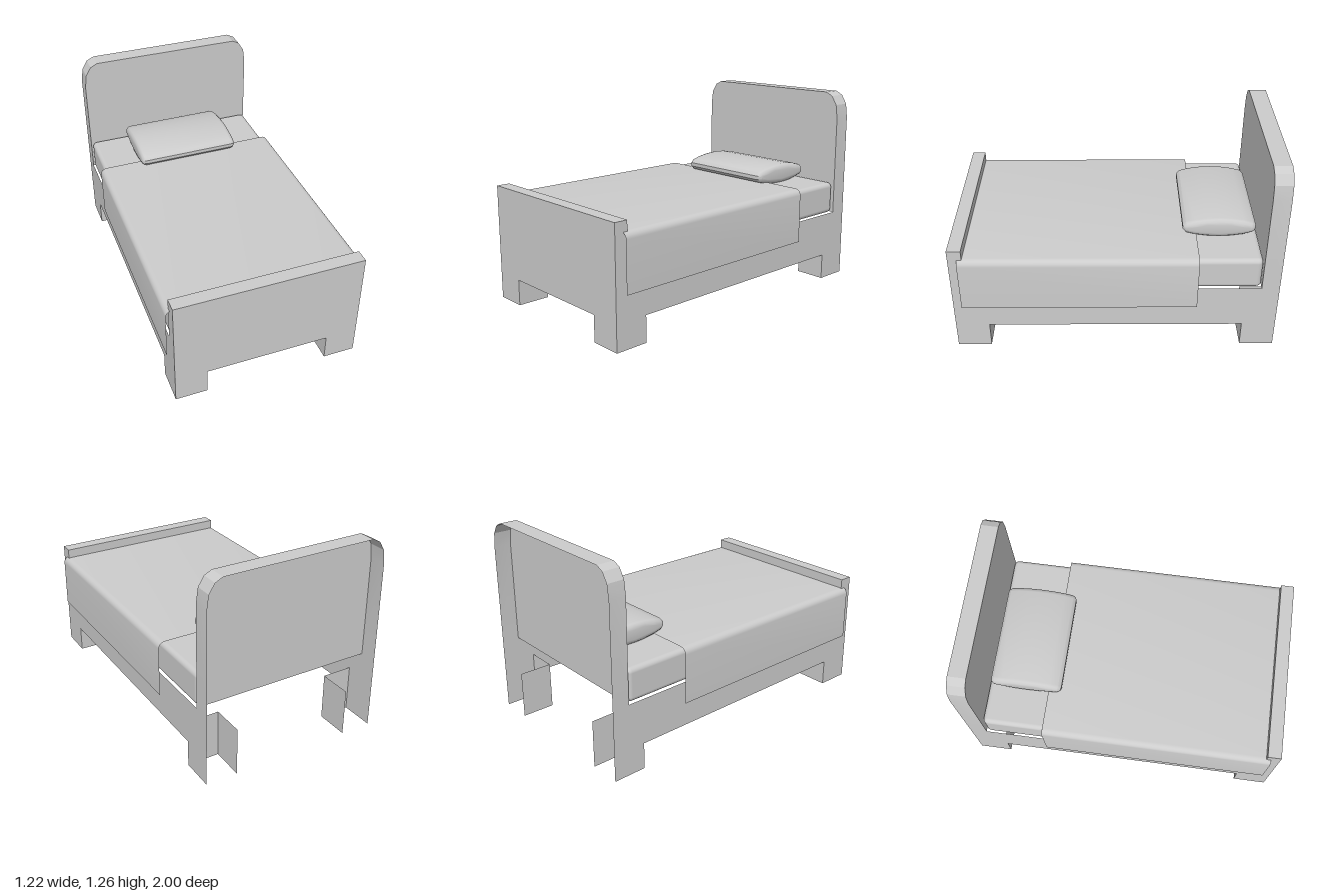
import * as THREE from 'three';
import { toCreasedNormals } from 'three/addons/utils/BufferGeometryUtils.js';
import { RoundedBoxGeometry } from 'three/addons/geometries/RoundedBoxGeometry.js';

const material = new THREE.MeshStandardMaterial({ color: 0xcccccc, side: THREE.DoubleSide });

function add(parent, name, geometry, x = 0, y = 0, z = 0) {
  const mesh = new THREE.Mesh(geometry, material);
  mesh.name = name;
  mesh.position.set(x, y, z);
  parent.add(mesh);
  return mesh;
}

// Flat panel from an outline
function panel(points) {
  return new THREE.ShapeGeometry(new THREE.Shape(points.map(([x, y]) => new THREE.Vector2(x, y))));
}

// Sheet that follows an x-y path and runs from zBack to zFront
function sheet(path, zBack, zFront, crease) {
  const geometry = new THREE.PlaneGeometry(1, 1, path.length - 1, 1);
  const position = geometry.attributes.position;
  for (let i = 0; i < position.count; i++) {
    const [x, y] = path[i % path.length];
    position.setXYZ(i, x, y, i < path.length ? zBack : zFront);
  }
  return toCreasedNormals(geometry, crease);
}

// Completes a left half path (running upward at -x) with its mirror image
const mirrorPath = (half) => [...half, ...half.map(([x, y]) => [-x, y]).reverse()];

const W = 0.585, RAIL_TOP = 0.45, RAIL_BOTTOM = 0.165, FOOT_TOP = 0.735;
const HEAD_Z = -0.89, FOOT_Z = 0.915, LEG = 0.2, LEG_TOP = 0.3;

export function createModel() {
  const bed = new THREE.Group();
  bed.name = 'bed';

  // Headboard: front panel and rim, open at the back
  const arch = mirrorPath([[-W, RAIL_TOP], [-W, 1.09], [-0.573, 1.18], [-0.537, 1.237], [-0.49, 1.26]]);
  add(bed, 'headboardPanel', panel(arch), 0, 0, HEAD_Z);
  add(bed, 'headboardRim', sheet(arch, -1, HEAD_Z, 0.2));

  // Footboard: outer panel with leg cutout, inner panel and top
  add(bed, 'footboardOuter', panel([
    [-W, 0], [-W + LEG, 0], [-W + LEG, RAIL_BOTTOM], [W - LEG, RAIL_BOTTOM],
    [W - LEG, 0], [W, 0], [W, FOOT_TOP], [-W, FOOT_TOP],
  ]), 0, 0, 1);
  const inner = new THREE.PlaneGeometry(2 * W, FOOT_TOP - RAIL_TOP).rotateY(Math.PI);
  add(bed, 'footboardInner', inner, 0, (FOOT_TOP + RAIL_TOP) / 2, FOOT_Z);
  add(bed, 'footboardTop', sheet([[-W, FOOT_TOP], [W, FOOT_TOP]], FOOT_Z, 1, 0.2));

  // One side of the frame, then its mirror image
  const side = new THREE.Group();
  side.name = 'leftSide';
  const rail = panel([
    [-1, 0], [-1 + LEG + 0.01, 0], [-1 + LEG + 0.01, RAIL_BOTTOM], [0.79, RAIL_BOTTOM],
    [0.79, 0], [1, 0], [1, RAIL_TOP], [-FOOT_Z, RAIL_TOP], [-FOOT_Z, FOOT_TOP], [-1, FOOT_TOP],
  ]).rotateY(Math.PI / 2);
  add(side, 'sideRail', rail, W);
  for (const end of [-1, 1]) {
    // Hollow legs: the inner walls complete the outer panels
    const facing = end > 0 ? Math.PI : 0;
    add(side, 'legEndWall', new THREE.PlaneGeometry(LEG, LEG_TOP).rotateY(facing),
      W - LEG / 2, LEG_TOP / 2, end * 0.79);
    add(side, 'legInnerWall', new THREE.PlaneGeometry(0.21, LEG_TOP).rotateY(-Math.PI / 2),
      W - LEG, LEG_TOP / 2, end * 0.895);
  }
  const otherSide = side.clone();
  otherSide.name = 'rightSide';
  otherSide.scale.x = -1;
  bed.add(side, otherSide);

  // Mattress
  add(bed, 'mattress', new RoundedBoxGeometry(1.156, 0.207, 1.795, 3, 0.03), 0, 0.5535, 0.0125);

  // Blanket: open sheet draped over the mattress and rails
  const drape = [[-0.61, 0.325]];
  for (let i = 0; i <= 6; i++) {
    const a = (i / 6) * Math.PI / 2;
    drape.push([-0.57 - 0.04 * Math.cos(a), 0.635 + 0.04 * Math.sin(a)]);
  }
  add(bed, 'blanket', sheet(mirrorPath(drape), -0.5, 0.945, 0.6));

  // Pillow: lens profile with bevelled ends
  const top = [[-0.226, 0.012], [-0.207, 0.034], [-0.15, 0.05], [-0.075, 0.061], [0, 0.065]];
  const upper = [...top, ...top.slice(0, -1).map(([x, y]) => [-x, y]).reverse()];
  const lens = [...upper, ...upper.map(([x, y]) => [x, -y]).reverse()];
  const pillow = new THREE.ExtrudeGeometry(
    new THREE.Shape(lens.map(([x, y]) => new THREE.Vector2(x, y))),
    { depth: 0.606, bevelThickness: 0.032, bevelSize: 0.032, bevelOffset: -0.032, bevelSegments: 3 },
  ).translate(0, 0, -0.303).rotateY(Math.PI / 2);
  add(bed, 'pillow', toCreasedNormals(pillow, 0.6), 0, 0.715, -0.642);

  return bed;
}
